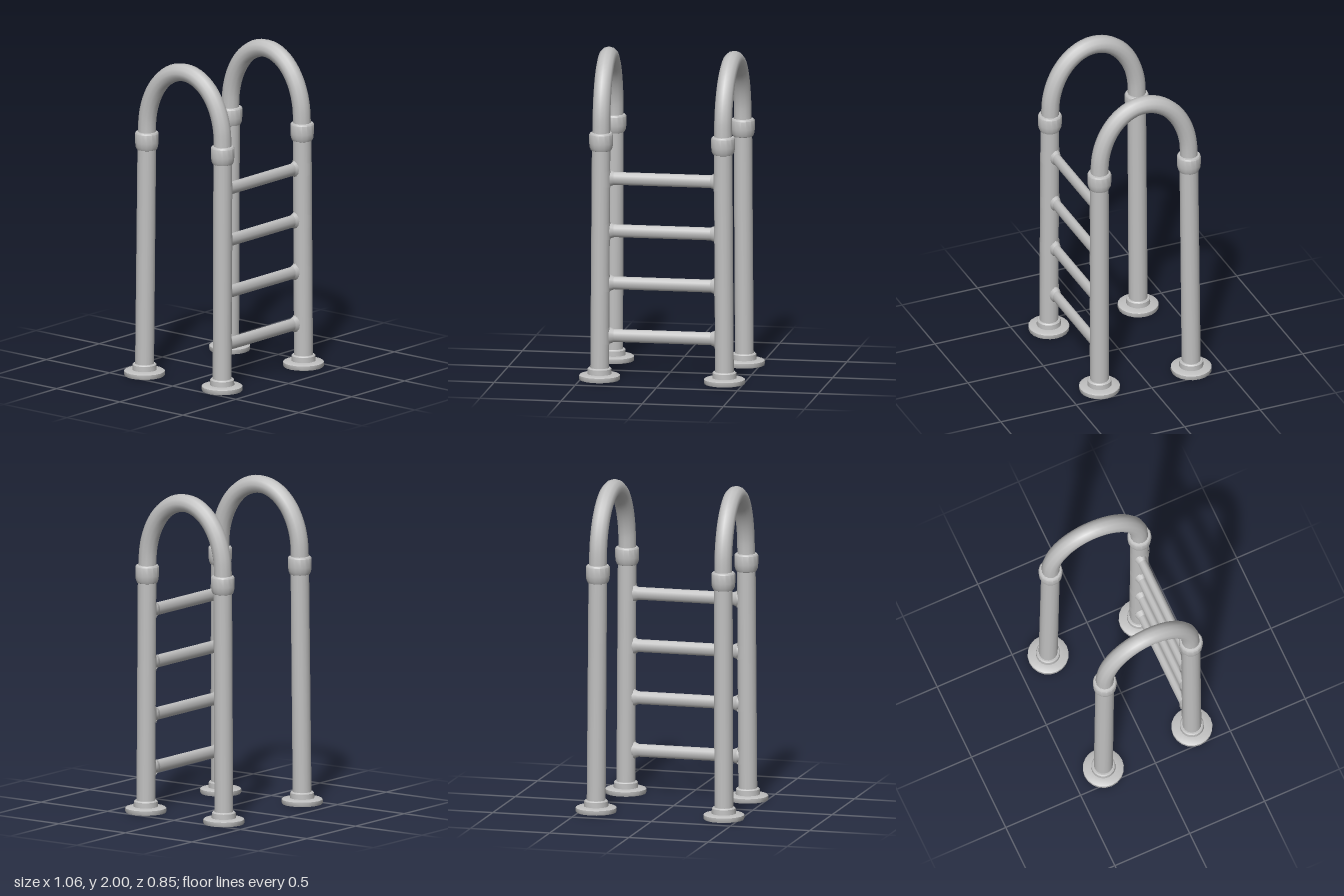
import * as THREE from 'three';
import { toCreasedNormals } from 'three/addons/utils/BufferGeometryUtils.js';

export function createModel() {
  const model = new THREE.Group();
  model.name = 'poolLadder';
  const metal = new THREE.MeshStandardMaterial({ color: 0xc0c0c0, side: THREE.DoubleSide });
  metal.name = 'greyMetal';
  const V = (x, y, z) => new THREE.Vector3(x, y, z);

  function add(name, geometry, position = V(0, 0, 0)) {
    const mesh = new THREE.Mesh(geometry, metal);
    mesh.name = name;
    mesh.position.copy(position);
    model.add(mesh);
    return mesh;
  }
  const lathe = (points, sides) => toCreasedNormals(
    new THREE.LatheGeometry(points.map(([r, y]) => new THREE.Vector2(r, y)), sides), 0.7);

  // Floor flange with a hollow underside, and the joint collar
  const flange = lathe([[0, 0.04], [0.055, 0.035], [0.085, 0.018], [0.122, 0], [0.125, 0.006],
    [0.125, 0.028], [0.118, 0.033], [0.074, 0.036], [0.073, 0.068], [0.066, 0.075], [0.05, 0.075]], 20);
  const collar = lathe([[0.05, 1.415], [0.062, 1.42], [0.07, 1.438], [0.073, 1.465],
    [0.073, 1.518], [0.067, 1.527], [0.05, 1.53]], 14);

  const rungHeights = [0.272, 0.598, 0.921, 1.245];
  const frontBase = { x: 0.385, z: 0.296 }, frontTop = { x: 0.376, z: 0.293 };
  const backBase = { x: 0.403, z: -0.304 }, backTop = { x: 0.396, z: -0.291 };

  for (const side of [-1, 1]) {
    const label = side > 0 ? 'left' : 'right';

    // Slightly leaning posts with their fittings
    for (const [end, base, top] of [['Front', frontBase, frontTop], ['Back', backBase, backTop]]) {
      const post = new THREE.CylinderGeometry(0.057, 0.058, 1.46, 16, 1);
      const p = post.attributes.position;
      for (let i = 0; i < p.count; i++) {
        const t = p.getY(i) / 1.46 + 0.5;
        p.setX(i, p.getX(i) + side * THREE.MathUtils.lerp(base.x, top.x, t));
        p.setZ(i, p.getZ(i) + THREE.MathUtils.lerp(base.z, top.z, t));
      }
      add(label + end + 'Post', post, V(0, 0.755, 0));
      add(label + end + 'Flange', flange, V(side * base.x, 0, base.z));
      add(label + end + 'Collar', collar, V(side * top.x, 0, top.z));
    }

    // Arched handrail from front collar to back collar
    const path = [V(side * frontTop.x, 1.48, 0.292)];
    for (let i = 0; i <= 16; i++) {
      const a = Math.PI * i / 16, c = Math.cos(a);
      path.push(V(side * (0.385 - 0.01 * c), 1.55 + 0.394 * Math.sin(a), 0.291 * c));
    }
    path.push(V(side * backTop.x, 1.48, -0.291));
    add(label + 'Handrail',
      new THREE.TubeGeometry(new THREE.CatmullRomCurve3(path), 40, 0.055, 12, false));

    // Saddles hugging the inner half of the front post, with a flare onto each rung
    for (const y of rungHeights) {
      const t = y / 1.48;
      const x = side * THREE.MathUtils.lerp(frontBase.x, frontTop.x, t);
      const saddle = new THREE.CylinderGeometry(0.0605, 0.0605, 2, 8, 1, true,
        side > 0 ? Math.PI : 0, Math.PI);
      const p = saddle.attributes.position;
      for (let i = 0; i < p.count; i++) {
        p.setY(i, p.getY(i) * (0.035 + 0.018 * Math.abs(p.getX(i)) / 0.0605));
      }
      add(label + 'RungSaddle', saddle, V(x, y, 0.294));

      const flare = new THREE.CylinderGeometry(0.04, 0.053, 0.03, 12, 1, true);
      flare.scale(1, 1, 0.7).rotateZ(side * Math.PI / 2);
      add(label + 'RungFlare', flare, V(side * 0.313, y, 0.279));
    }
  }

  // Oval rungs
  for (const y of rungHeights) {
    const rung = new THREE.CylinderGeometry(0.04, 0.04, 0.7, 12);
    rung.scale(1, 1, 0.7).rotateZ(Math.PI / 2);
    add('rung', rung, V(0, y, 0.279));
  }
  return model;
}
